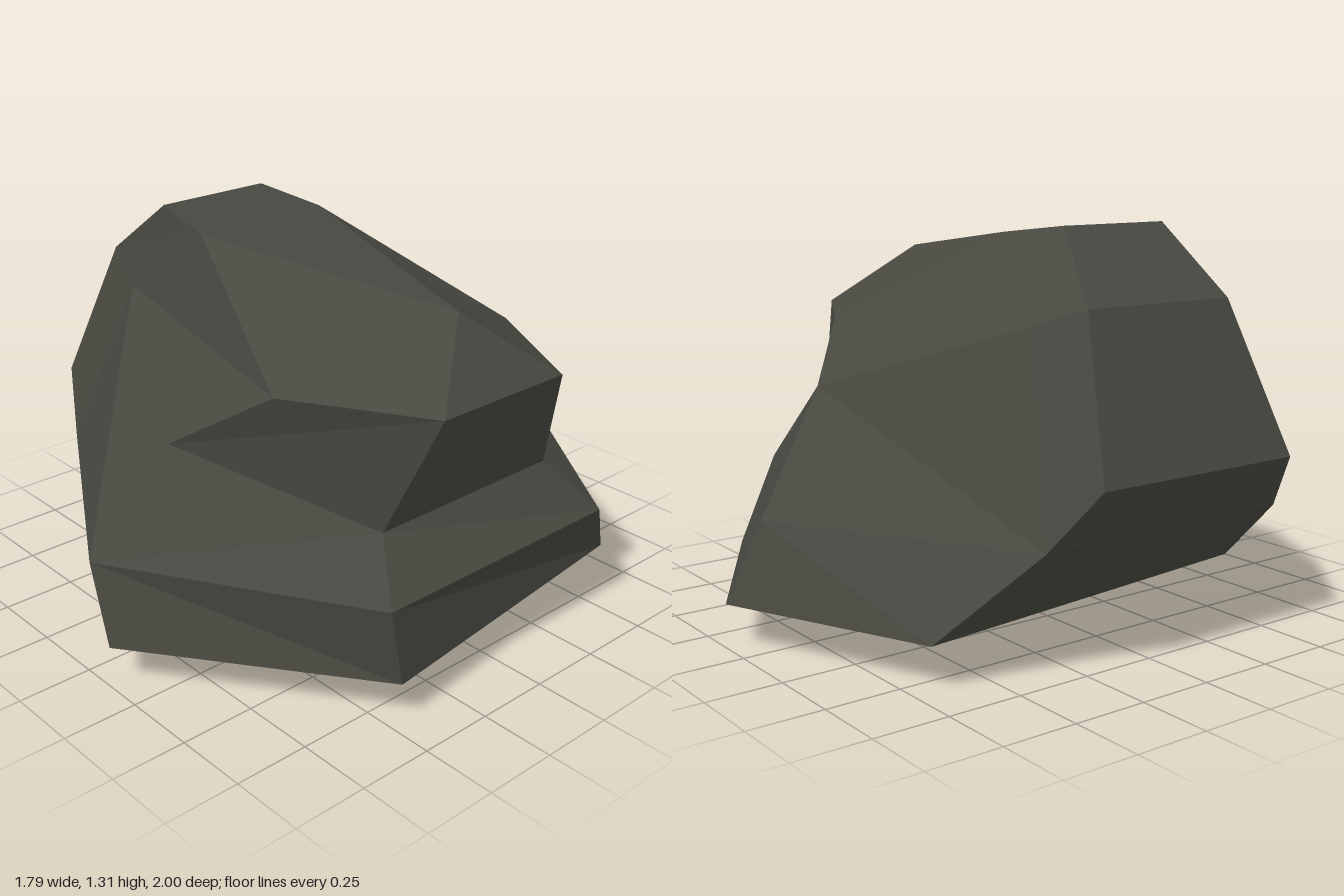
import * as THREE from 'three';

// Corner points, each as [front, back]
const corners = {
  A: [[-0.39, 1.31, 0.355], [-0.39, 1.31, -0.055]], // crown
  B: [[-0.12, 1.28, 0.41], [-0.13, 1.28, -0.09]],
  C: [[0.71, 1.18, 0.12], [0.71, 1.18, 0.12]], // tip of the upper ledge
  D: [[0.895, 0.97, 0.36], [0.895, 0.97, -0.14]],
  E: [[0.46, 0.97, 0.61], [0.46, 0.97, -0.38]],
  F: [[0.105, 0.74, 0.73], [0.17, 0.79, -0.62]], // inner end of the notch
  G: [[0.71, 0.565, 0.41], [0.74, 0.59, -0.27]],
  I: [[0.865, 0.41, 0.52], [0.865, 0.41, -0.42]], // lower ledge
  J: [[0.865, 0.145, 0.47], [0.73, 0.145, -0.63]],
  K: [[0.13, 0.145, 1.0], [0.11, 0.145, -1.0]],
  L: [[0.05, 0.41, 1.0], [0.05, 0.41, -0.9]],
  M: [[-0.765, 0.41, 0.52], [-0.765, 0.41, -0.42]],
  N: [[-0.51, 0.175, 0.57], [-0.59, 0.145, -0.7]],
  P: [[-0.14, 0, 0.29], [-0.14, 0, 0.29]], // lowest point
  Q: [[-0.9, 0.605, 0.44], [-0.9, 0.605, -0.32]],
  R: [[-0.71, 1.09, 0.34], [-0.69, 1.09, -0.21]],
  X: [[-0.53, 1.01, 0.4], [-0.53, 1.03, -0.285]],
};

// Facets of the front side; the back side uses the same ones reversed
const sideFacets = ['RXBA', 'RQMX', 'XFEB', 'XMLF', 'MNKL', 'LKJI', 'LIGF', 'FGDE', 'EDCB', 'PKN', 'PJK'];
// Outline around which the front and back sides are bridged
const outline = 'BCDGIJPNMQRA';

function rockGeometry() {
  const positions = [];
  const addFacet = (points) => {
    for (let i = 1; i < points.length - 1; i++) {
      positions.push(...points[0], ...points[i], ...points[i + 1]);
    }
  };
  for (const facet of sideFacets) {
    const names = [...facet];
    addFacet(names.map((n) => corners[n][0]));
    addFacet(names.map((n) => corners[n][1]).reverse());
  }
  for (let i = 0; i < outline.length; i++) {
    const u = corners[outline[i]];
    const v = corners[outline[(i + 1) % outline.length]];
    const single = (p) => p[0].every((c, k) => c === p[1][k]);
    if (single(u)) addFacet([u[0], v[0], v[1]]);
    else if (single(v)) addFacet([u[0], v[0], u[1]]);
    else addFacet([u[0], v[0], v[1], u[1]]);
  }
  const geometry = new THREE.BufferGeometry();
  geometry.setAttribute('position', new THREE.Float32BufferAttribute(positions, 3));
  geometry.computeVertexNormals(); // unshared corners give flat facets
  return geometry;
}

export function createModel() {
  const stone = new THREE.MeshStandardMaterial({ color: 0x484841, flatShading: true });
  stone.name = 'dark stone';

  const group = new THREE.Group();
  group.name = 'boulder';
  const rock = new THREE.Mesh(rockGeometry(), stone);
  rock.name = 'rock';
  group.add(rock);
  return group;
}
